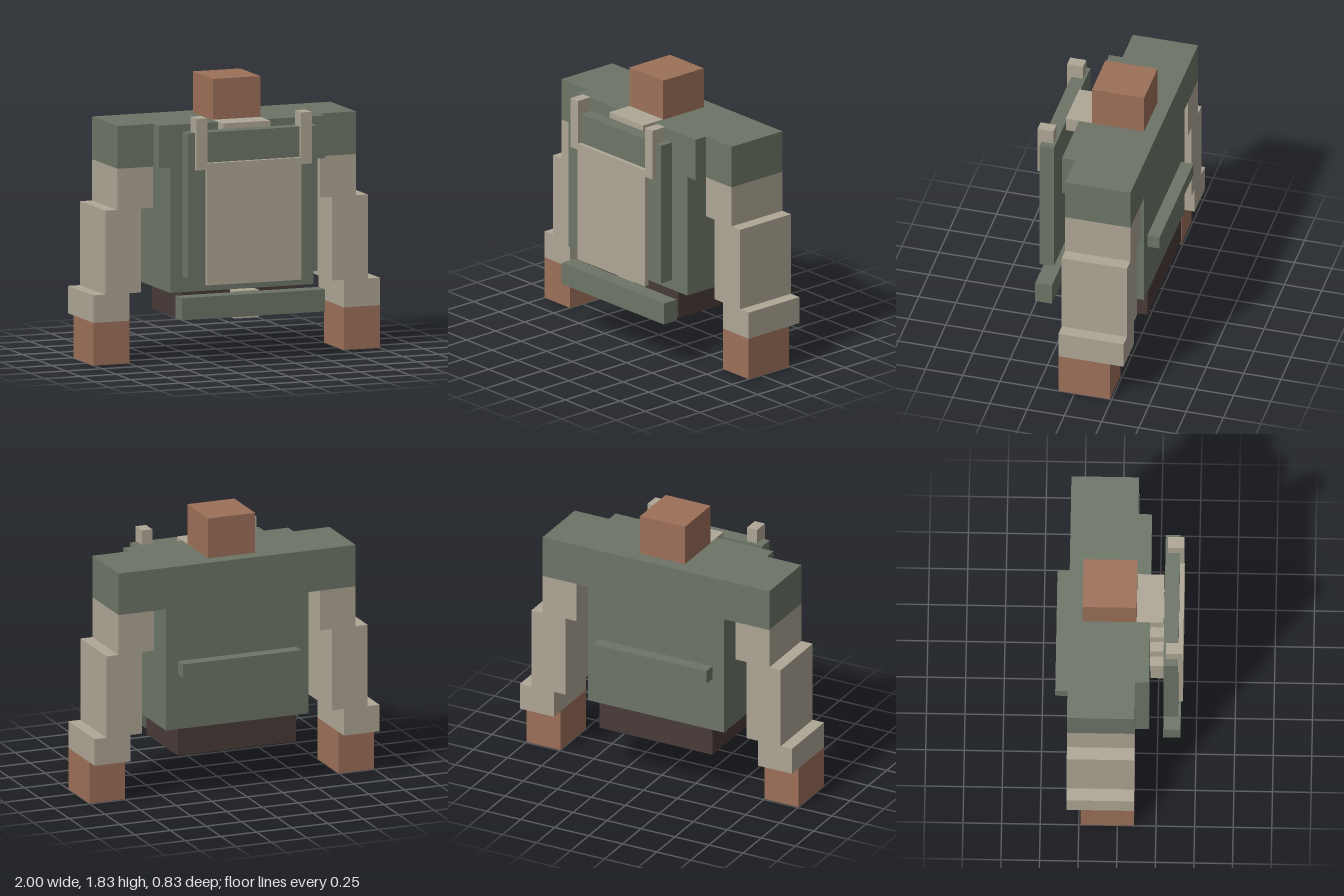
import * as THREE from 'three';

const mat = (name, color) => {
  const m = new THREE.MeshStandardMaterial({ color });
  m.name = name;
  return m;
};

export function createModel() {
  const green = mat('olive green', 0x6d7567);
  const beige = mat('beige', 0xafa796);
  const brown = mat('skin brown', 0x9d7059);
  const dark = mat('dark brown', 0x483b38);

  const model = new THREE.Group();
  model.name = 'blockFigure';

  // Box given by its limits on each axis
  const box = (name, material, [x0, x1], [y0, y1], [z0, z1], parent = model) => {
    const mesh = new THREE.Mesh(new THREE.BoxGeometry(x1 - x0, y1 - y0, z1 - z0), material);
    mesh.position.set((x0 + x1) / 2, (y0 + y1) / 2, (z0 + z1) / 2);
    mesh.name = name;
    parent.add(mesh);
    return mesh;
  };
  const wide = (h) => [-h, h];

  // Head and body
  box('head', brown, wide(0.165), [1.56, 1.83], [-0.24, 0.11]);
  box('torso', green, wide(0.5), [0.46, 1.28], [-0.33, 0.197]);
  box('chest', green, wide(0.58), [1.28, 1.56], [-0.33, 0.197]);
  box('hips', dark, wide(0.415), [0.28, 0.46], [-0.33, 0.197]);
  box('backBar', green, wide(0.415), [0.83, 0.92], [-0.413, -0.33]);

  // Collar and the cross pieces that hold the front pack
  box('collar', beige, wide(0.165), [1.47, 1.563], [0.11, 0.285]);
  for (const y of [1.19, 0.92, 0.645]) {
    box('packSpacer', beige, wide(0.165), [y, y + 0.09], [0.197, 0.288]);
  }
  box('beltSpacer', beige, wide(0.083), [0.28, 0.46], [0.197, 0.288]);

  // Front pack and belt
  box('packPanel', green, wide(0.452), [0.577, 1.528], [0.288, 0.383]);
  box('packCover', beige, wide(0.33), [0.53, 1.33], [0.383, 0.413]);
  box('belt', green, wide(0.5), [0.31, 0.455], [0.288, 0.4]);

  // Mirrored straps and stepped arms
  for (const [side, s] of [['left', 1], ['right', -1]]) {
    const span = (a, b) => (s > 0 ? [a, b] : [-b, -a]);
    const arm = new THREE.Group();
    arm.name = side + 'Arm';
    model.add(arm);
    const depth = [-0.33, 0.108];
    box(side + 'Shoulder', green, span(0.58, 0.833), [1.28, 1.56], depth, arm);
    box(side + 'UpperArm', beige, span(0.583, 0.833), [1.01, 1.28], depth, arm);
    box(side + 'Forearm', beige, span(0.667, 0.917), [0.46, 1.01], depth, arm);
    box(side + 'Wrist', beige, span(0.75, 1), [0.28, 0.46], depth, arm);
    box(side + 'Hand', brown, span(0.75, 1), [0, 0.28], [-0.24, 0.108], arm);
    box(side + 'Strap', beige, span(0.328, 0.403), [1.287, 1.625], [0.303, 0.411]);
  }

  return model;
}
